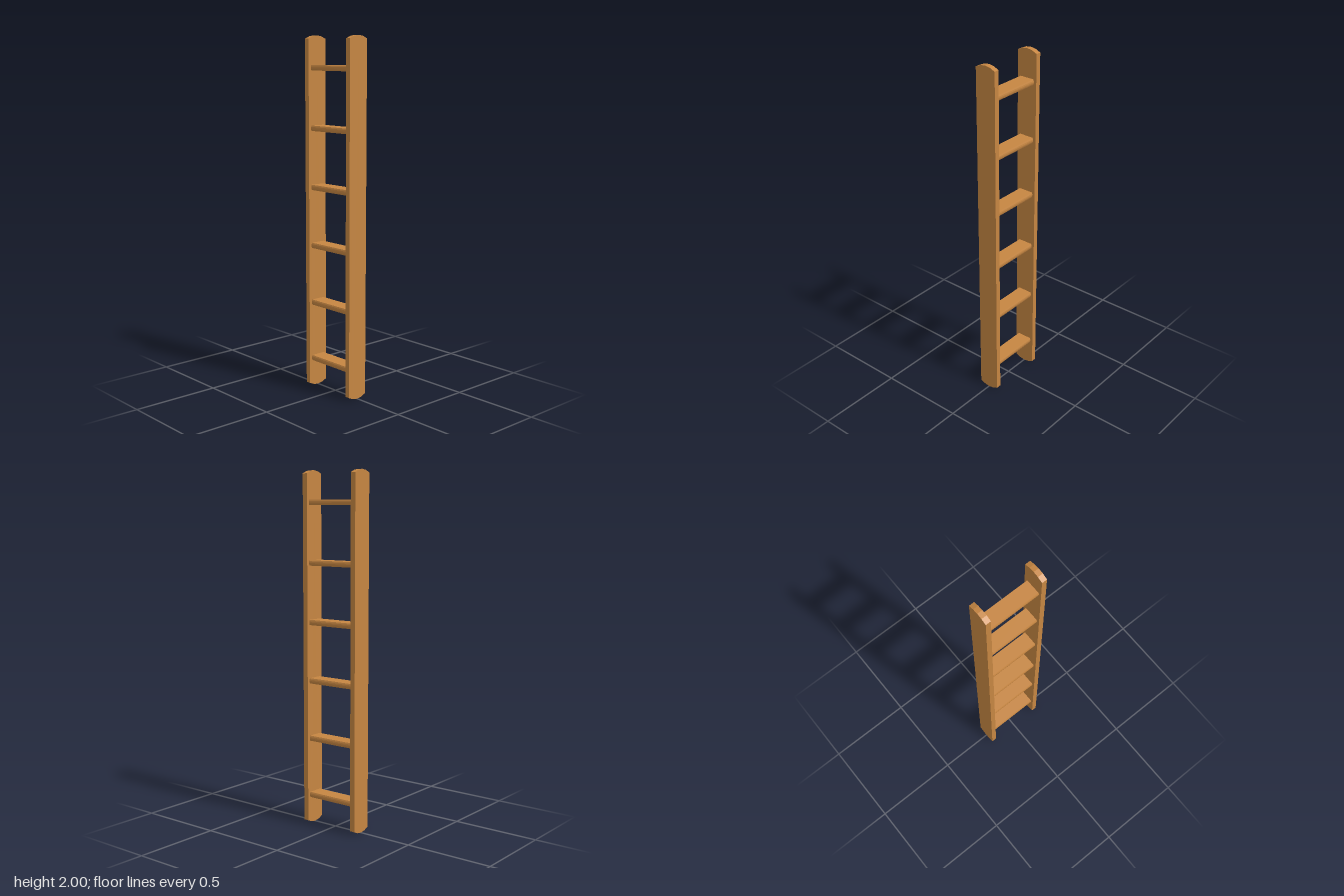
import * as THREE from 'three';

const wood = new THREE.MeshStandardMaterial({ color: 0xc68642, flatShading: true });

// Plank outline with shallow arcs on both ends, extruded along x and centred.
function plank(width, length, sagitta, depth, segments = 4) {
  const half = width / 2;
  const points = [];
  for (const end of [1, -1]) {
    for (let i = 0; i <= segments; i++) {
      const t = 1 - (2 * i) / segments;
      points.push(new THREE.Vector2(end * t * half, end * (length / 2 - sagitta * t * t)));
    }
  }
  const geometry = new THREE.ExtrudeGeometry(new THREE.Shape(points), { depth, bevelEnabled: false });
  return geometry.translate(0, 0, -depth / 2).rotateY(Math.PI / 2);
}

export function createModel() {
  const ladder = new THREE.Group();
  ladder.name = 'ladder';

  // Side rails with rounded tops and feet
  const railGeometry = plank(0.123, 2, 0.018, 0.03);
  for (const side of [1, -1]) {
    const rail = new THREE.Mesh(railGeometry, wood);
    rail.name = side > 0 ? 'leftRail' : 'rightRail';
    rail.position.set(side * 0.166, 1, 0);
    ladder.add(rail);
  }

  // Flat rungs with softly rounded front and back edges
  const rungGeometry = plank(0.03, 0.092, 0.004, 0.304).rotateX(Math.PI / 2);
  for (let i = 0; i < 6; i++) {
    const rung = new THREE.Mesh(rungGeometry, wood);
    rung.name = `rung${i + 1}`;
    rung.position.y = 0.168 + i * 0.3315;
    ladder.add(rung);
  }

  return ladder;
}
